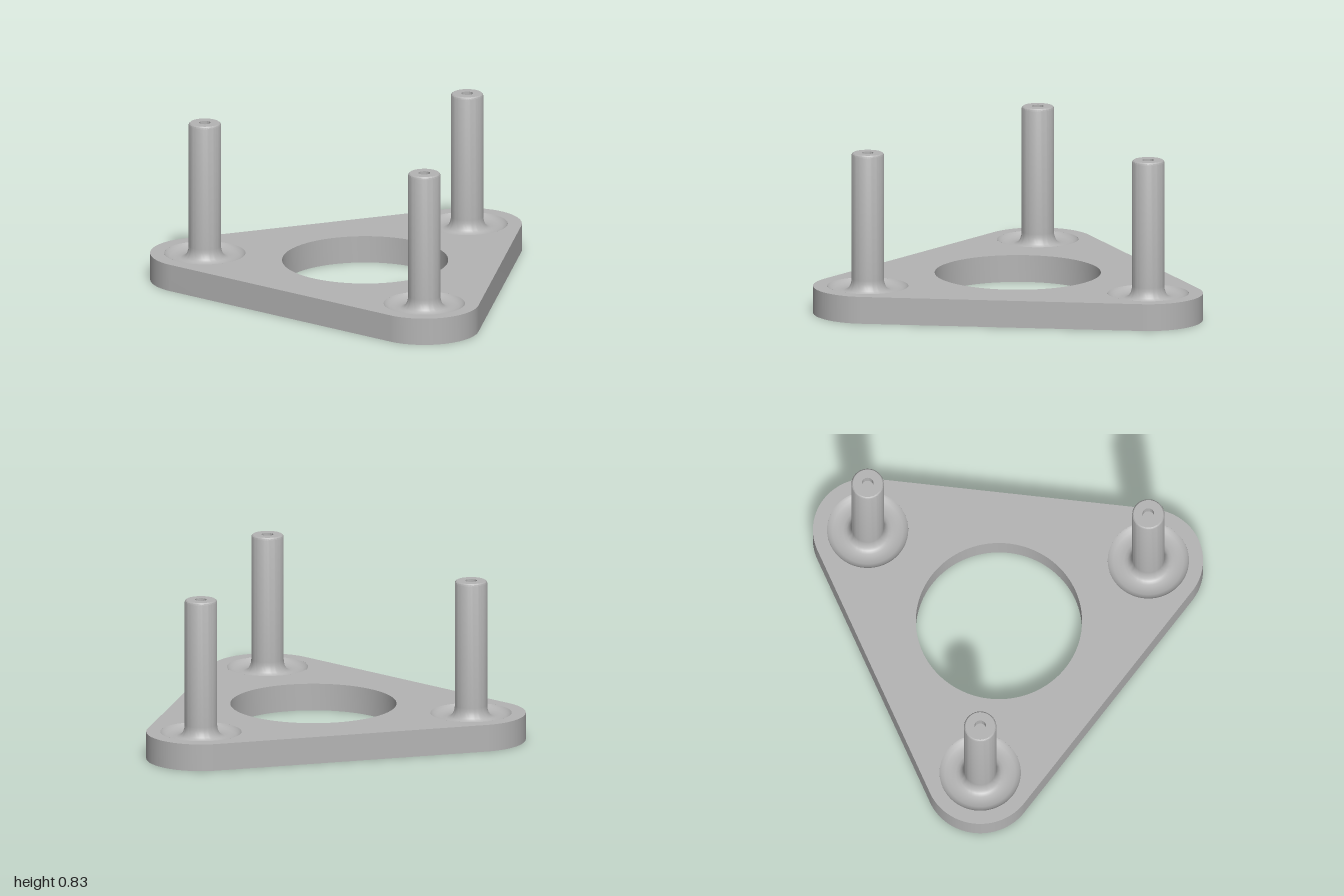
import * as THREE from 'three';
import { toCreasedNormals } from 'three/addons/utils/BufferGeometryUtils.js';

const POSTS = [[-0.72, -0.64], [0.72, -0.583], [-0.055, 0.637]]; // x, z
const CORNER = 0.28, THICK = 0.14, DISH = 0.208;

// Rounded triangle: arcs about the three posts joined by tangent lines
function plateShape() {
  const shape = new THREE.Shape();
  const edgeAngle = (a, b) => Math.atan2(a[0] - b[0], b[1] - a[1]);
  POSTS.forEach((p, i) => {
    const before = POSTS[(i + 2) % 3], after = POSTS[(i + 1) % 3];
    shape.absarc(p[0], p[1], CORNER, edgeAngle(before, p), edgeAngle(p, after), false);
  });
  shape.closePath();
  const cut = (x, z, r) => {
    const hole = new THREE.Path();
    hole.absarc(x, z, r, 0, Math.PI * 2, true);
    shape.holes.push(hole);
  };
  cut(-0.02, -0.195, 0.425);
  for (const [x, z] of POSTS) cut(x, z, DISH);
  return shape;
}

export function createModel() {
  const model = new THREE.Group();
  model.name = 'threePostPlate';
  const metal = new THREE.MeshStandardMaterial({ color: 0xb4b4b4 });
  metal.name = 'grey metal';

  // Base plate with the large opening
  const plateGeo = new THREE.ExtrudeGeometry(plateShape(), { depth: THICK, bevelEnabled: false, curveSegments: 64 });
  plateGeo.rotateX(Math.PI / 2).translate(0, THICK, 0);
  const plate = new THREE.Mesh(toCreasedNormals(plateGeo, 0.5), metal);
  plate.name = 'basePlate';
  model.add(plate);

  // Post with its shallow dish, root fillet, rounded top edge and centre hole
  const profile = [
    [0, 0], [DISH, 0], [DISH, THICK], [0.198, 0.128], [0.18, 0.12], [0.155, 0.115], [0.125, 0.115],
    [0.108, 0.12], [0.097, 0.13], [0.089, 0.145], [0.084, 0.163], [0.083, 0.18],
    [0.083, 0.823], [0.081, 0.83], [0.075, 0.835], [0.03, 0.835], [0.03, 0.79], [0, 0.79],
  ].map(([r, y]) => new THREE.Vector2(r, y));
  const postGeo = toCreasedNormals(new THREE.LatheGeometry(profile, 64), 0.6);
  POSTS.forEach(([x, z], i) => {
    const post = new THREE.Mesh(postGeo, metal);
    post.name = ['backRightPost', 'backLeftPost', 'frontPost'][i];
    post.position.set(x, 0, z);
    model.add(post);
  });
  return model;
}
